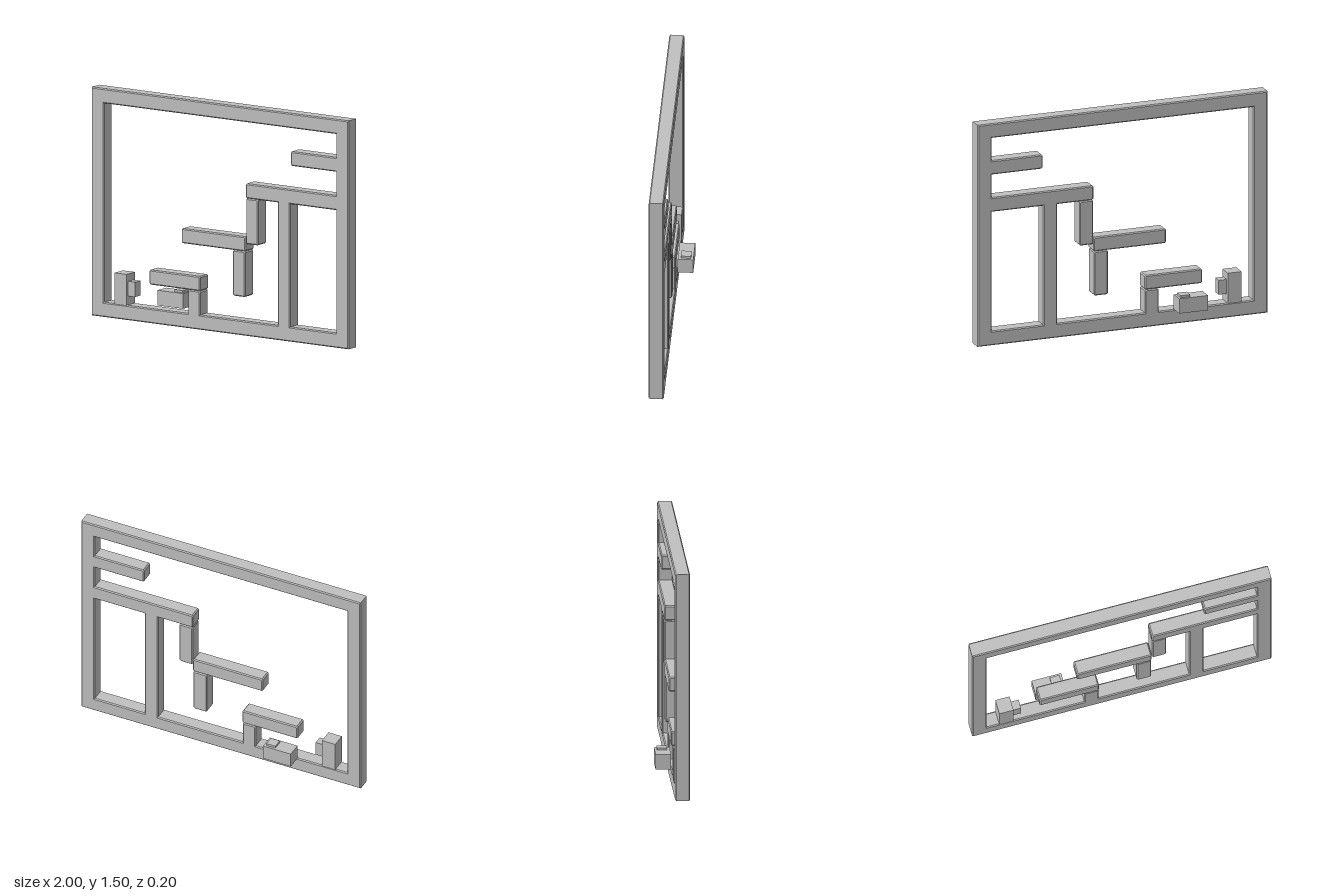
import * as THREE from 'three';

const BEVEL = 0.007;
const DEPTH = 0.097;

// Rectangular ring: a chamfered cross-section swept round four mitred corners
function frameGeometry(halfWidth, height, thickness) {
  const b = BEVEL, t = thickness, d = DEPTH;
  // Cross-section as [inset from the outer edge, z]
  const profile = [[0, b], [0, d - b], [b, d], [t - b, d], [t, d - b], [t, b], [t - b, 0], [b, 0]];
  const corner = (i, [inset, z]) => {
    const right = i === 1 || i === 2;
    return [(right ? 1 : -1) * (halfWidth - inset), i < 2 ? inset : height - inset, z];
  };
  const positions = [];
  for (let i = 0; i < 4; i++) {
    const next = (i + 1) % 4;
    profile.forEach((p, j) => {
      const q = profile[(j + 1) % profile.length];
      const [a, e, f, g] = [corner(i, p), corner(next, p), corner(next, q), corner(i, q)];
      positions.push(...a, ...e, ...f, ...a, ...f, ...g);
    });
  }
  const geometry = new THREE.BufferGeometry();
  geometry.setAttribute('position', new THREE.Float32BufferAttribute(positions, 3));
  geometry.computeVertexNormals();
  return geometry;
}

// Bar with every edge chamfered, from z = 0 to z = DEPTH
function barGeometry(x0, x1, y0, y1) {
  const c = 0.008;
  const shape = new THREE.Shape([
    [x0 + c, y0], [x1 - c, y0], [x1, y0 + c], [x1, y1 - c],
    [x1 - c, y1], [x0 + c, y1], [x0, y1 - c], [x0, y0 + c],
  ].map(([x, y]) => new THREE.Vector2(x, y)));
  return new THREE.ExtrudeGeometry(shape, {
    depth: DEPTH - 2 * BEVEL,
    bevelThickness: BEVEL,
    bevelSize: BEVEL,
    bevelOffset: -BEVEL,
    bevelSegments: 1,
  }).translate(0, 0, BEVEL);
}

export function createModel() {
  const group = new THREE.Group();
  const grey = new THREE.MeshStandardMaterial({ color: 0xc0c0c0 });
  grey.name = 'grey';

  const add = (name, geometry) => {
    const mesh = new THREE.Mesh(geometry, grey);
    mesh.name = name;
    group.add(mesh);
    return mesh;
  };

  add('frame', frameGeometry(1, 1.5, 0.097));

  // Chamfered bars: name, x0, x1, y0, y1 (joined bars run into their neighbour)
  const bars = [
    ['topShelf', 0.55, 0.92, 1.155, 1.25],
    ['upperShelf', 0.2, 0.92, 0.903, 1.0],
    ['middleShelf', -0.3, 0.2, 0.553, 0.65],
    ['lowerShelf', -0.55, -0.153, 0.253, 0.35],
    ['tallPost', 0.45, 0.547, 0.08, 0.92],
    ['upperHanger', 0.202, 0.297, 0.603, 0.903],
    ['middleHanger', 0.1, 0.197, 0.253, 0.553],
    ['lowerPost', -0.25, -0.155, 0.08, 0.253],
  ];
  for (const [name, ...extent] of bars) add(name, barGeometry(...extent));

  // Plain boxes: name, x0, x1, y0, y1, z0, z1
  const boxes = [
    ['standingBox', -0.82, -0.725, 0.095, 0.3, 0, 0.097],
    ['standingBoxKnob', -0.725, -0.67, 0.155, 0.252, 0.02, 0.08],
    ['rearBox', -0.55, -0.352, 0.1, 0.2, -0.1, 0],
    ['rearBoxButton', -0.433, -0.368, 0.2, 0.215, -0.085, -0.02],
  ];
  for (const [name, x0, x1, y0, y1, z0, z1] of boxes) {
    add(name, new THREE.BoxGeometry(x1 - x0, y1 - y0, z1 - z0))
      .position.set((x0 + x1) / 2, (y0 + y1) / 2, (z0 + z1) / 2);
  }

  return group;
}
